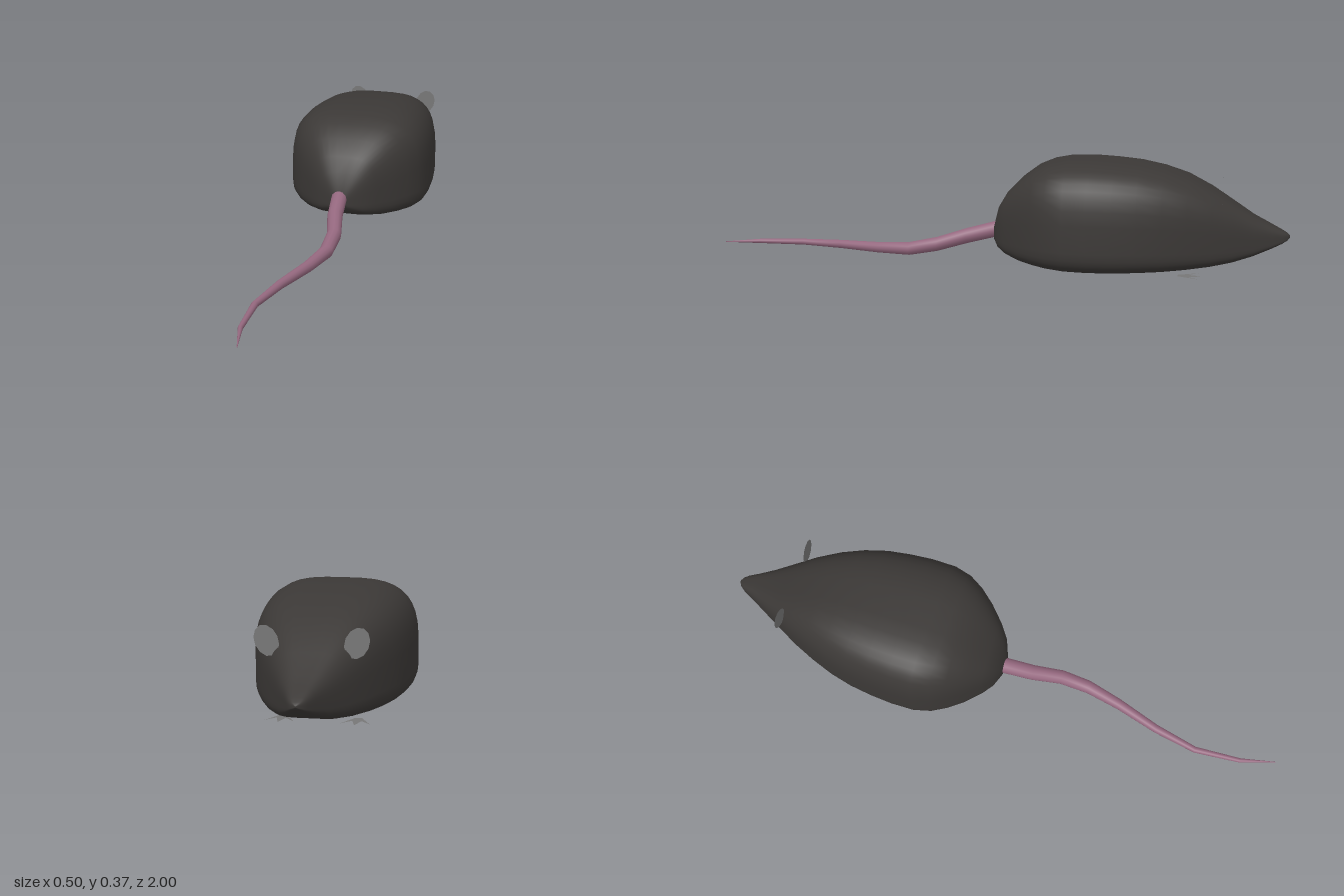
import * as THREE from 'three';

// Skin equal-sized closed rings, listed from +z towards -z
function loft(rings) {
  const n = rings[0].length, pos = [], idx = [];
  rings.forEach((ring) => ring.forEach((p) => pos.push(...p)));
  for (let i = 0; i < rings.length - 1; i++) {
    for (let j = 0; j < n; j++) {
      const k = (j + 1) % n, a = i * n, b = a + n;
      idx.push(a + j, b + j, a + k, a + k, b + j, b + k);
    }
  }
  const geo = new THREE.BufferGeometry();
  geo.setAttribute('position', new THREE.Float32BufferAttribute(pos, 3));
  geo.setIndex(idx);
  geo.computeVertexNormals();
  return geo;
}

// Squarish cross-section, softer above than below
function bodyRing([z, w, bottom, top], sides = 40) {
  const mid = bottom + (top - bottom) * 0.34;
  return Array.from({ length: sides }, (_, j) => {
    const t = ((j + 0.5) / sides) * Math.PI * 2, c = Math.cos(t), s = Math.sin(t);
    const e = 2 / (s > 0 ? 3.3 : 4.6);
    const h = s > 0 ? top - mid : mid - bottom;
    return [Math.sign(c) * w * Math.abs(c) ** e, mid + Math.sign(s) * h * Math.abs(s) ** e, z];
  });
}

function tailRing([z, x, y, r], sides = 12) {
  return Array.from({ length: sides }, (_, j) => {
    const t = (j / sides) * Math.PI * 2;
    return [x + r * Math.cos(t), y + r * Math.sin(t), z];
  });
}

export function createModel() {
  const group = new THREE.Group();
  const add = (name, geo, mat) => {
    const mesh = new THREE.Mesh(geo, mat);
    mesh.name = name;
    group.add(mesh);
    return mesh;
  };
  const fur = new THREE.MeshStandardMaterial({ color: 0x3b3836 });
  const skin = new THREE.MeshStandardMaterial({ color: 0x95687f });
  const thin = new THREE.MeshStandardMaterial({ color: 0x777777, side: THREE.DoubleSide });

  // Body stations: z, half width, bottom, top
  const body = [
    [0, 0, 0.1, 0.1], [0, 0.03, 0.08, 0.13], [-0.02, 0.08, 0.057, 0.2],
    [-0.05, 0.118, 0.04, 0.25], [-0.1, 0.168, 0.026, 0.3], [-0.15, 0.207, 0.018, 0.337],
    [-0.2, 0.235, 0.012, 0.357], [-0.26, 0.25, 0.007, 0.368], [-0.34, 0.251, 0.005, 0.37],
    [-0.42, 0.245, 0.006, 0.366], [-0.5, 0.234, 0.009, 0.359], [-0.58, 0.214, 0.013, 0.344],
    [-0.66, 0.185, 0.019, 0.32], [-0.74, 0.15, 0.028, 0.28], [-0.81, 0.113, 0.04, 0.236],
    [-0.88, 0.076, 0.06, 0.191], [-0.94, 0.045, 0.084, 0.161], [-0.975, 0.029, 0.1, 0.143],
    [-0.992, 0.017, 0.111, 0.133], [-1, 0.004, 0.118, 0.126], [-1, 0, 0.122, 0.122],
  ];
  add('body', loft(body.map((s) => bodyRing(s))), fur);

  // Tail stations from tip to root: z, x, y, radius
  const tail = [
    [1, -0.02, 0.022, 0.001], [0.88, -0.053, 0.022, 0.008], [0.72, -0.065, 0.023, 0.011],
    [0.57, -0.035, 0.027, 0.015], [0.42, 0.01, 0.031, 0.019], [0.3, 0.036, 0.037, 0.023],
    [0.2, 0.035, 0.057, 0.025], [0.1, 0.01, 0.085, 0.027], [0, -0.004, 0.11, 0.028],
    [-0.04, -0.004, 0.118, 0.028],
  ];
  add('tail', loft(tail.map((s) => tailRing(s))), skin);

  // Flat three-toed foot pointing towards the nose
  const foot = new THREE.Shape([
    [-0.01, 0], [-0.045, 0.07], [-0.014, 0.035], [0, 0.085],
    [0.014, 0.035], [0.045, 0.07], [0.01, 0],
  ].map(([x, y]) => new THREE.Vector2(x, y)));
  const footGeo = new THREE.ShapeGeometry(foot).rotateX(-Math.PI / 2);
  const earGeo = new THREE.CircleGeometry(1, 12).scale(0.036, 0.048, 1);

  for (const [side, s] of [['left', 1], ['right', -1]]) {
    const ear = add(side + 'Ear', earGeo, thin);
    ear.position.set(s * 0.133, 0.257, -0.775);
    ear.rotation.z = -s * 0.4;
    add(side + 'FrontFoot', footGeo, thin).position.set(s * 0.115, 0, -0.635);
    add(side + 'HindFoot', footGeo, thin).position.set(s * 0.1, 0, -0.265);
  }
  return group;
}
